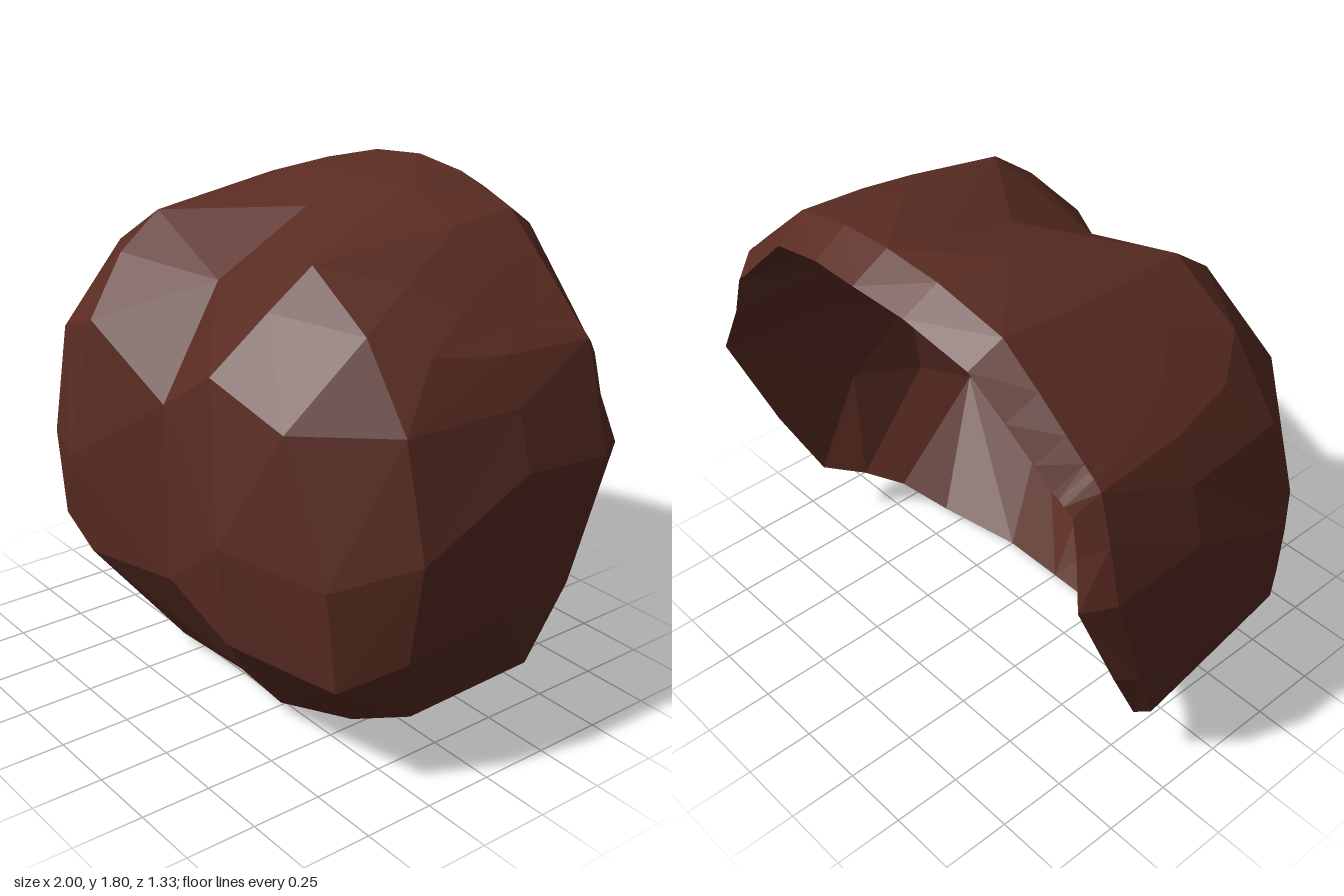
import * as THREE from 'three';

const V = (p) => new THREE.Vector3(...p);
const CENTRE = new THREE.Vector3(0, 0.95, -0.4);

// Left half: rows run from the lower lip, over the front and crown, to the top back edge;
// columns run from the middle to the side opening.
const ROWS = [
  [[0, 0.02, 0.26], [0.3, 0.05, 0.31], [0.6, 0.11, 0.24], [0.81, 0.2, 0.17], [0.86, 0.25, -0.03], [0.91, 0.3, -0.24]],
  [[0, 0.48, 0.55], [0.42, 0.44, 0.61], [0.82, 0.41, 0.49], [0.94, 0.5, 0.3], [1, 0.58, -0.03], [0.96, 0.58, -0.36]],
  [[0, 0.8, 0.555], [0.45, 0.81, 0.665], [0.81, 0.76, 0.52], [0.975, 0.84, 0.28], [0.975, 1.03, -0.14], [0.97, 1, -0.49]],
  [[0, 1.12, 0.555], [0.35, 1.33, 0.61], [0.64, 1.22, 0.55], [0.88, 1.22, 0.28], [0.92, 1.23, -0.14], [0.92, 1.2, -0.485]],
  [[0, 1.5, 0.33], [0.42, 1.52, 0.44], [0.69, 1.48, 0.28], [0.8, 1.41, 0.12], [0.85, 1.38, -0.14], [0.87, 1.37, -0.48]],
  [[0, 1.69, -0.03], [0.43, 1.64, 0.28], [0.61, 1.58, 0.05], [0.72, 1.5, -0.08], [0.79, 1.44, -0.24], [0.84, 1.4, -0.48]],
  [[0, 1.76, -0.28], [0.25, 1.77, -0.27], [0.49, 1.69, -0.25], [0.64, 1.57, -0.29], [0.75, 1.475, -0.36], [0.82, 1.415, -0.48]],
  [[0, 1.8, -0.53], [0.22, 1.78, -0.52], [0.48, 1.71, -0.5], [0.62, 1.59, -0.49], [0.73, 1.495, -0.485], [0.8, 1.432, -0.48]],
];
const LAST_ROW = ROWS.length - 1;
const LAST_COL = ROWS[0].length - 1;

// Back edge of the lip: its bottom points, and how far the side and top reach back
const BOTTOM_LIP = [[0, 0, 0.19], [0.25, 0, 0.19], [0.54, 0.055, 0.09], [0.7, 0.14, 0], [0.79, 0.21, -0.12], [0.86, 0.28, -0.27]];
const SIDE_LIP = [0, 0.06, 0.11, 0.08, 0.075, 0.085, 0.085, 0];
const TOP_LIP = [0.135, 0.125, 0.115, 0.105, 0.095, 0.09];

function innerPoint(p, r, c) {
  const [x, y, z] = p;
  if (r === 0) return V(BOTTOM_LIP[c]);
  if (r === LAST_ROW) return V([x * 0.955, y - 0.075, z - TOP_LIP[c]]);
  if (c === LAST_COL) {
    const drop = THREE.MathUtils.clamp((y - 1) * 0.2, 0, 0.075);
    return V([x * (r > 3 ? 0.96 : 0.94), y - drop, z - SIDE_LIP[r]]);
  }
  return V(p).sub(CENTRE).multiplyScalar(0.88).add(CENTRE);
}

const outer = ROWS.map((row) => row.map(V));
const inner = ROWS.map((row, r) => row.map((p, c) => innerPoint(p, r, c)));

// Split a quad along the diagonal that bulges outward
function quad(out, a, b, c, d) {
  const reach = (p, q) => p.clone().add(q).multiplyScalar(0.5).distanceTo(CENTRE);
  if (reach(a, c) > reach(b, d)) out.push([a, b, c], [a, c, d]);
  else out.push([a, b, d], [b, c, d]);
}

function surface(grid) {
  const tris = [];
  for (let r = 0; r < LAST_ROW; r++) {
    for (let c = 0; c < LAST_COL; c++) {
      quad(tris, grid[r][c], grid[r][c + 1], grid[r + 1][c + 1], grid[r + 1][c]);
    }
  }
  return tris;
}

// Edge of the opening: bottom, side, then top
function border(grid) {
  const side = grid.slice(1, LAST_ROW).map((row) => row[LAST_COL]);
  return [...grid[0], ...side, ...grid[LAST_ROW].slice().reverse()];
}

// Mirror the half and make a faceted mesh
function makeMesh(name, tris, material) {
  const flip = (p) => new THREE.Vector3(-p.x, p.y, p.z);
  const all = [...tris, ...tris.map(([a, b, c]) => [flip(a), flip(c), flip(b)])];
  const geometry = new THREE.BufferGeometry().setFromPoints(all.flat());
  geometry.computeVertexNormals();
  const mesh = new THREE.Mesh(geometry, material);
  mesh.name = name;
  return mesh;
}

export function createModel() {
  const brown = new THREE.MeshStandardMaterial({ color: 0x5a2c22 });
  brown.name = 'dark brown';

  // Lip joining the outer and inner faces
  const rim = [];
  const o = border(outer);
  const i = border(inner);
  for (let k = 0; k < o.length - 1; k++) quad(rim, o[k + 1], o[k], i[k], i[k + 1]);

  const group = new THREE.Group();
  group.name = 'hollowShell';
  group.add(
    makeMesh('outerShell', surface(outer), brown),
    makeMesh('innerShell', surface(inner).map(([a, b, c]) => [a, c, b]), brown),
    makeMesh('rim', rim, brown),
  );
  return group;
}
